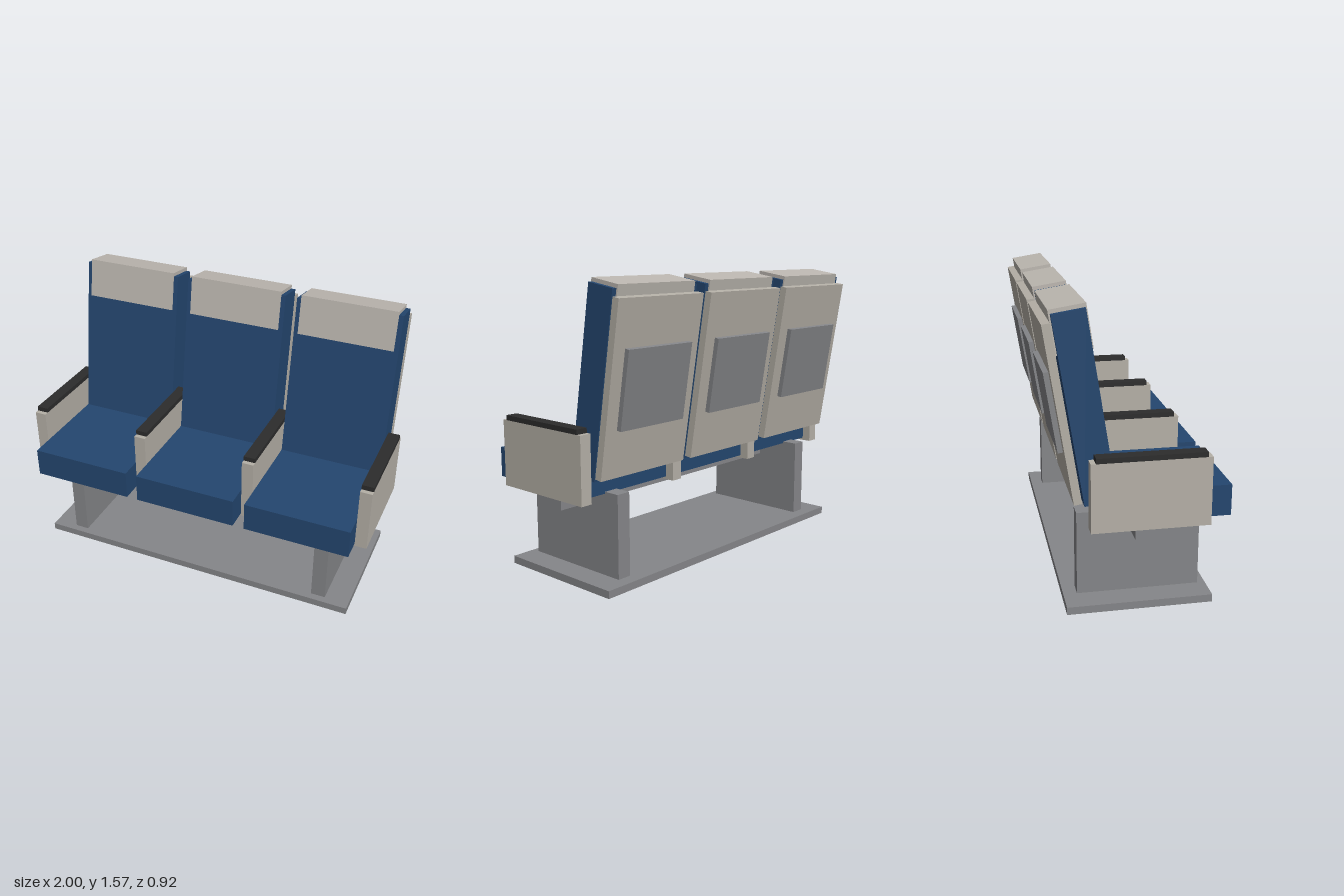
import * as THREE from 'three';

const mat = (name, color) => {
  const m = new THREE.MeshStandardMaterial({ color });
  m.name = name;
  return m;
};

export function createModel() {
  const blue = mat('blue fabric', 0x24466f);
  const beige = mat('beige shell', 0xb5b0a7);
  const cover = mat('pale cover', 0xbcb7b0);
  const grey = mat('grey metal', 0x858689);
  const dark = mat('dark pad', 0x2c2c2c);

  const model = new THREE.Group();
  model.name = 'tripleSeat';

  // box given by its size and centre
  const box = (parent, name, material, size, centre) => {
    const mesh = new THREE.Mesh(new THREE.BoxGeometry(...size), material);
    mesh.name = name;
    mesh.position.set(...centre);
    parent.add(mesh);
  };

  // floor plate, legs and cross beam
  box(model, 'basePlate', grey, [1.87, 0.04, 0.74], [0, 0.05, 0.01]);
  box(model, 'crossBeam', grey, [1.87, 0.085, 0.095], [0, 0.449, 0.027]);
  for (const side of [-1, 1]) {
    box(model, 'leg', grey, [0.08, 0.51, 0.63], [side * 0.76, 0.255, 0.025]);
  }

  // three seats, each with a reclined back
  for (const x of [-0.645, 0, 0.645]) {
    const seat = new THREE.Group();
    seat.name = 'seat';
    seat.position.x = x;
    box(seat, 'cushion', blue, [0.58, 0.16, 0.66], [0, 0.58, 0.13]);

    const back = new THREE.Group();
    back.name = 'seatBack';
    back.position.set(0, 1.075, -0.2625);
    back.rotation.x = -THREE.MathUtils.degToRad(9);
    box(back, 'backrest', blue, [0.58, 0.94, 0.162], [0, 0, 0]);
    box(back, 'headrestCover', cover, [0.53, 0.215, 0.178], [0, 0.382, 0]);
    box(back, 'backShell', beige, [0.586, 0.885, 0.04], [0, -0.008, -0.11]);
    box(back, 'backPocket', grey, [0.44, 0.4, 0.026], [0, -0.003, -0.143]);
    seat.add(back);
    model.add(seat);
  }

  // four armrests with dark pads
  for (const x of [-0.9675, -0.3225, 0.3225, 0.9675]) {
    box(model, 'armrest', beige, [0.065, 0.35, 0.59], [x, 0.66, 0.045]);
    box(model, 'armrestPad', dark, [0.065, 0.026, 0.54], [x, 0.848, 0.045]);
  }
  return model;
}
